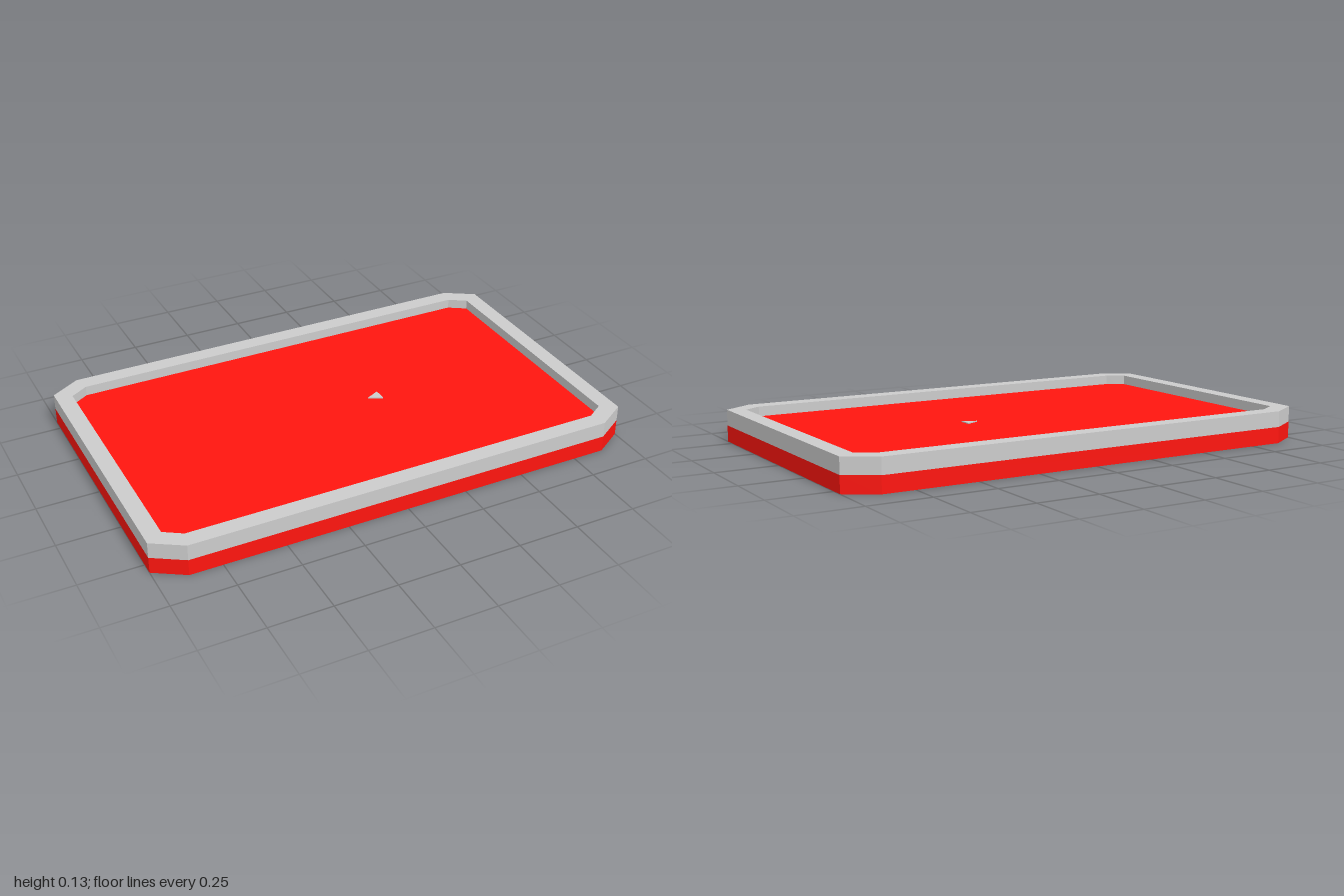
import * as THREE from 'three';

const red = new THREE.MeshStandardMaterial({ color: 0xff150f, flatShading: true });
const grey = new THREE.MeshStandardMaterial({ color: 0xcccccc, flatShading: true });

// Corner points of a rectangle with chamfered corners (half sizes w, d; chamfer cx by cz)
function chamfered(w, d, cx, cz) {
  return [
    [w, -d + cz], [w, d - cz], [w - cx, d], [-w + cx, d],
    [-w, d - cz], [-w, -d + cz], [-w + cx, -d], [w - cx, -d],
  ].map(([x, y]) => new THREE.Vector2(x, y));
}

// Upright prism from a plan outline, between heights y0 and y1
function slab(name, shape, y0, y1, material) {
  const geometry = new THREE.ExtrudeGeometry(shape, { depth: y1 - y0, bevelEnabled: false });
  geometry.rotateX(-Math.PI / 2);
  geometry.translate(0, y0, 0);
  const mesh = new THREE.Mesh(geometry, material);
  mesh.name = name;
  return mesh;
}

export function createModel() {
  const model = new THREE.Group();
  model.name = 'tray';
  const split = 0.066, floorY = 0.09, top = 0.13;
  const outer = chamfered(1, 0.624, 0.12, 0.075);
  const inner = chamfered(0.933, 0.555, 0.07, 0.045);

  // Red base and the raised floor inside the rim
  model.add(slab('base', new THREE.Shape(outer), 0, split, red));
  model.add(slab('floor', new THREE.Shape(inner), split, floorY, red));

  // Grey rim
  const rim = new THREE.Shape(outer);
  rim.holes.push(new THREE.Path(inner));
  model.add(slab('rim', rim, split, top, grey));

  // Small triangular marker on the floor
  const marker = new THREE.Shape([
    new THREE.Vector2(0.163, 0.014),
    new THREE.Vector2(0.218, -0.013),
    new THREE.Vector2(0.218, 0.041),
  ]);
  model.add(slab('marker', marker, floorY, floorY + 0.004, grey));

  return model;
}
